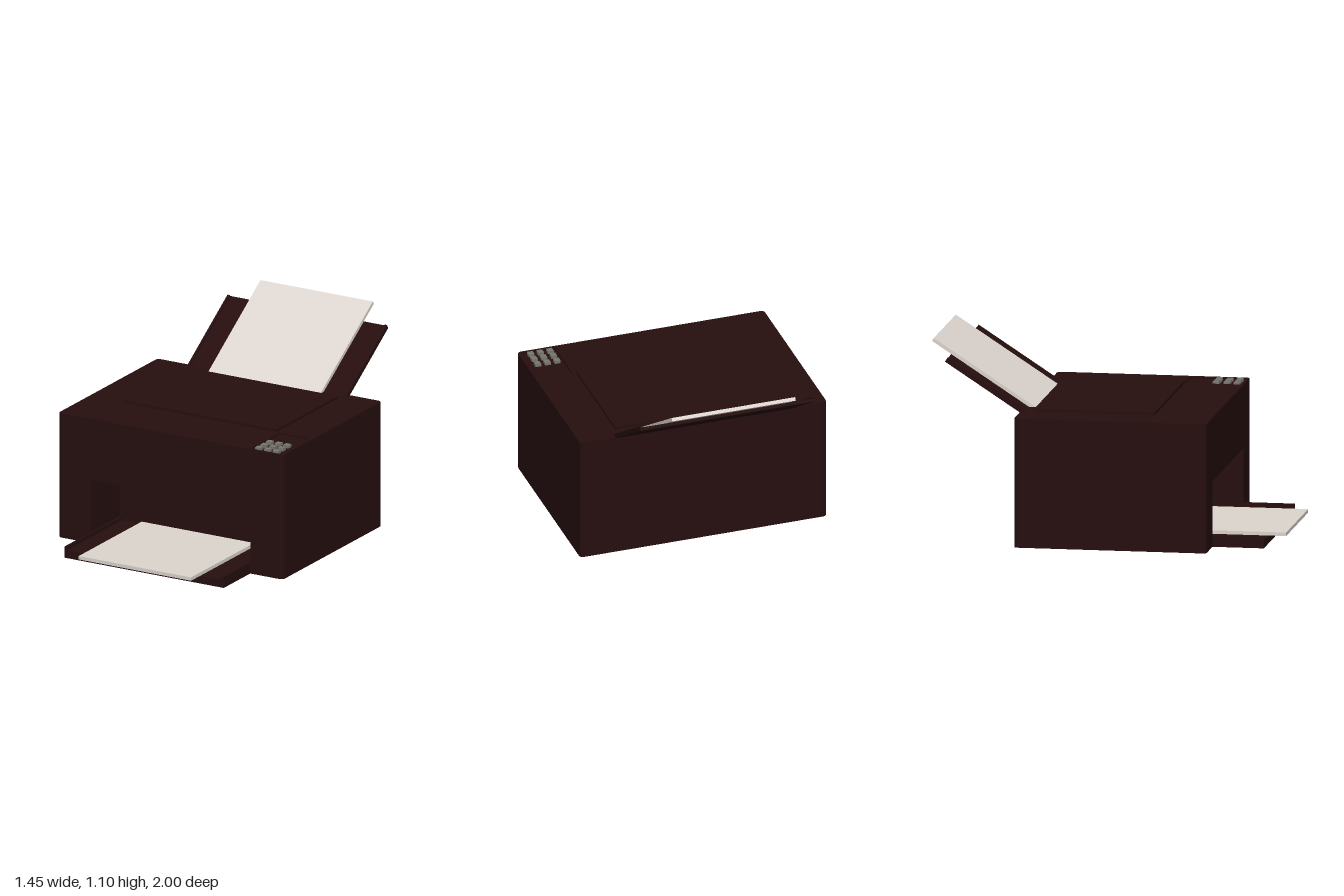
import * as THREE from 'three';

const casing = new THREE.MeshStandardMaterial({ name: 'dark brown casing', color: 0x260e0e });
const paper = new THREE.MeshStandardMaterial({ name: 'paper', color: 0xded6cf });
const button = new THREE.MeshStandardMaterial({ name: 'grey button', color: 0x77776f });

const W = 0.725, BACK = -0.475, FRONT = 0.61, R = 0.025;
const SLOT_W = 0.515, SLOT_BACK = 0.29;

// Box given by its limits on each axis
function box(parent, name, material, [x0, x1], [y0, y1], [z0, z1]) {
  const mesh = new THREE.Mesh(new THREE.BoxGeometry(x1 - x0, y1 - y0, z1 - z0), material);
  mesh.position.set((x0 + x1) / 2, (y0 + y1) / 2, (z0 + z1) / 2);
  mesh.name = name;
  parent.add(mesh);
  return mesh;
}

// Rounded footprint (shape y = world z), optionally notched at the front
function footprint(notched) {
  const s = new THREE.Shape();
  s.moveTo(-W + R, BACK);
  s.lineTo(W - R, BACK);
  s.quadraticCurveTo(W, BACK, W, BACK + R);
  s.lineTo(W, FRONT - R);
  s.quadraticCurveTo(W, FRONT, W - R, FRONT);
  if (notched) {
    s.lineTo(SLOT_W, FRONT);
    s.lineTo(SLOT_W, SLOT_BACK);
    s.lineTo(-SLOT_W, SLOT_BACK);
    s.lineTo(-SLOT_W, FRONT);
  }
  s.lineTo(-W + R, FRONT);
  s.quadraticCurveTo(-W, FRONT, -W, FRONT - R);
  s.lineTo(-W, BACK + R);
  s.quadraticCurveTo(-W, BACK, -W + R, BACK);
  return s;
}

// Horizontal slab of the casing between two heights
function slab(parent, name, shape, y0, y1) {
  const geo = new THREE.ExtrudeGeometry(shape, { depth: y1 - y0, bevelEnabled: false, curveSegments: 6 });
  geo.rotateX(Math.PI / 2).translate(0, y1, 0);
  const mesh = new THREE.Mesh(geo, casing);
  mesh.name = name;
  parent.add(mesh);
}

export function createModel() {
  const model = new THREE.Group();
  model.name = 'printer';

  // Casing: lower part with output slot, solid upper part, top with panel recess
  const body = new THREE.Group();
  body.name = 'body';
  model.add(body);
  slab(body, 'lowerBody', footprint(true), 0, 0.37);
  slab(body, 'upperBody', footprint(false), 0.37, 0.72);
  const top = footprint(false);
  top.holes.push(new THREE.Path([
    new THREE.Vector2(0.51, 0.28), new THREE.Vector2(0.51, 0.595),
    new THREE.Vector2(0.7, 0.595), new THREE.Vector2(0.7, 0.28),
  ]));
  slab(body, 'topCover', top, 0.72, 0.73);
  box(model, 'scannerLid', casing, [-0.495, 0.49], [0.725, 0.745], [-0.39, 0.28]);

  // Keypad
  const keypad = new THREE.Group();
  keypad.name = 'keypad';
  model.add(keypad);
  for (const x of [0.547, 0.604, 0.66])
    for (const z of [0.45, 0.51, 0.567])
      box(keypad, 'key', button, [x - 0.017, x + 0.017], [0.715, 0.737], [z - 0.017, z + 0.017]);

  // Output tray with side rims and a printed sheet stack
  const output = new THREE.Group();
  output.name = 'outputTray';
  model.add(output);
  box(output, 'trayFloor', casing, [-SLOT_W, SLOT_W], [0, 0.045], [0.285, 0.9]);
  for (const s of [-1, 1])
    box(output, 'trayRim', casing, [s * 0.5075 - 0.0075, s * 0.5075 + 0.0075], [0.04, 0.065], [0.285, 0.9]);
  box(output, 'outputPaper', paper, [-0.363, 0.363], [0.045, 0.065], [0.31, 1]);

  // Tilted feed tray at the back, holding paper
  const feed = new THREE.Group();
  feed.name = 'feedTray';
  feed.position.set(0, 0.73, -0.45);
  feed.rotation.x = THREE.MathUtils.degToRad(33);
  model.add(feed);
  box(feed, 'feedSupport', casing, [-SLOT_W, SLOT_W], [-0.018, 0], [-0.524, 0.03]);
  for (const s of [-1, 1])
    box(feed, 'feedRim', casing, [s * 0.5075 - 0.0075, s * 0.5075 + 0.0075], [-0.005, 0.008], [-0.524, 0.03]);
  box(feed, 'feedPaper', paper, [-0.363, 0.363], [0, 0.02], [-0.655, 0.05]);

  return model;
}
